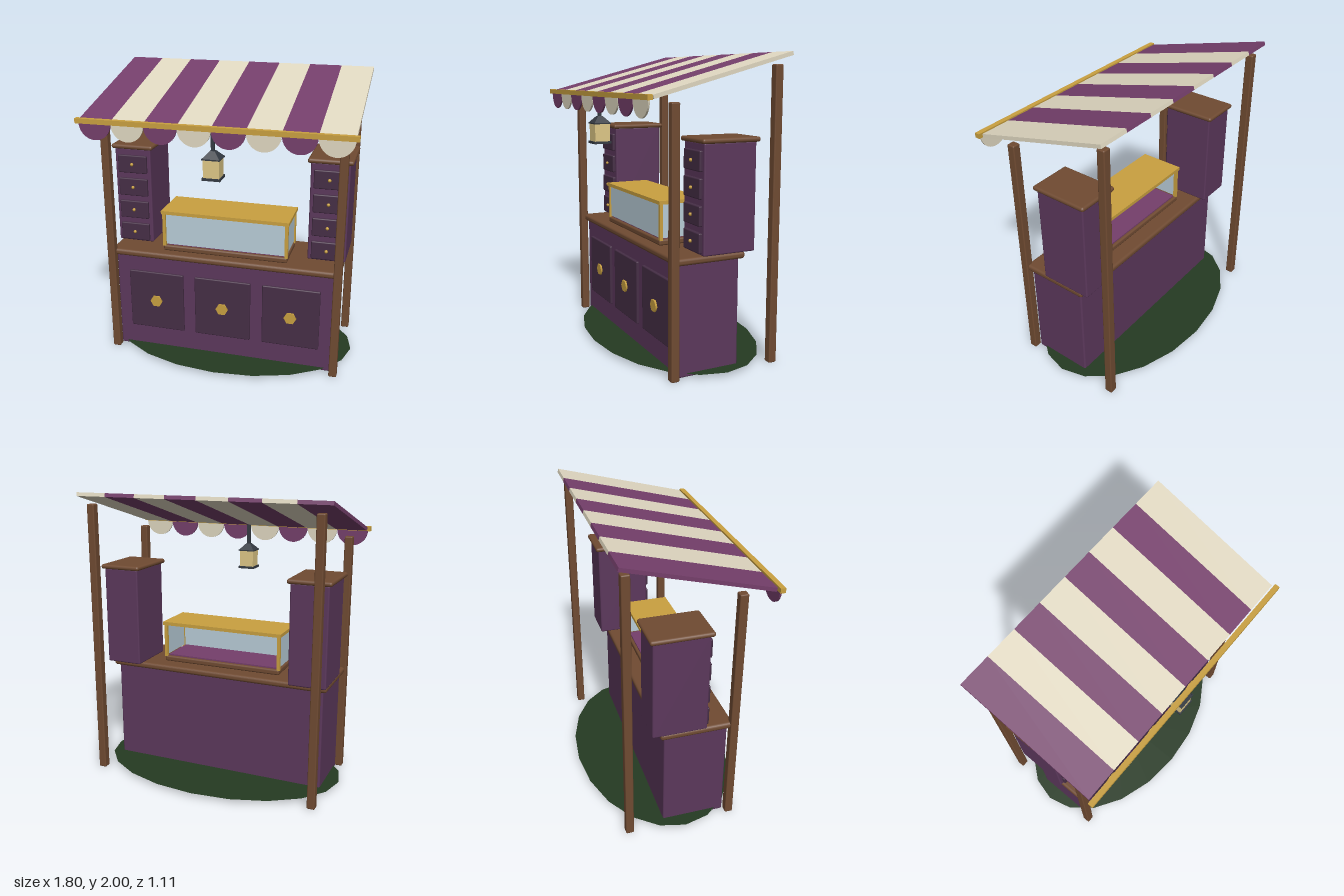
import * as THREE from 'three';
import { RoundedBoxGeometry } from 'three/addons/geometries/RoundedBoxGeometry.js';

const mat = (color, extra = {}) => new THREE.MeshStandardMaterial({ color, ...extra });

export function createModel() {
  const root = new THREE.Group();
  const plum = mat(0x5c385c), darkPlum = mat(0x462e46), wood = mat(0x704b32);
  const gold = mat(0xc9a040), iron = mat(0x343a42, { flatShading: true });
  const glass = mat(0xb9cdd8), glow = mat(0xdfc887);
  const cream = mat(0xe0d8c1), purple = mat(0x753f6b);
  const grass = mat(0x253a22, { side: THREE.DoubleSide });

  const add = (name, geometry, material, x, y, z, parent = root) => {
    const mesh = new THREE.Mesh(geometry, material);
    mesh.name = name;
    mesh.position.set(x, y, z);
    parent.add(mesh);
    return mesh;
  };
  const group = (name, x = 0, y = 0, z = 0) => {
    const g = new THREE.Group();
    g.name = name;
    g.position.set(x, y, z);
    root.add(g);
    return g;
  };
  const box = (w, h, d) => new THREE.BoxGeometry(w, h, d);
  const soft = (w, h, d, r = 0.01) => new RoundedBoxGeometry(w, h, d, 2, r);

  // Oval grass patch
  const patch = add('grassPatch', new THREE.CircleGeometry(1, 20, Math.PI / 2), grass, 0, 0.025, 0);
  patch.rotation.x = -Math.PI / 2;
  patch.scale.set(0.88, 0.555, 1);

  // Counter with three door panels
  add('counterBody', soft(1.56, 0.73, 0.43, 0.012), plum, 0, 0.365, 0.085);
  add('counterTop', soft(1.62, 0.045, 0.49, 0.018), wood, 0, 0.745, 0.085);
  for (const x of [-0.485, 0, 0.485]) {
    add('doorPanel', soft(0.4, 0.44, 0.03, 0.008), darkPlum, x, 0.39, 0.302);
    const stud = add('hexStud', new THREE.CylinderGeometry(0.044, 0.044, 0.016, 6), gold, x, 0.39, 0.322);
    stud.rotation.set(Math.PI / 2, Math.PI / 2, 0);
  }

  for (const side of [-1, 1]) {
    // Posts: short in front, tall behind
    add('frontPost', soft(0.055, 1.7, 0.055, 0.008), wood, side * 0.797, 0.85, 0.335);
    add('backPost', soft(0.055, 1.92, 0.055, 0.008), wood, side * 0.797, 0.96, -0.375);

    // Drawer cabinet
    const cabinet = group('drawerCabinet', side * 0.69, 0, -0.0375);
    add('cabinetBody', soft(0.26, 0.69, 0.365), plum, 0, 1.113, 0, cabinet);
    add('cabinetCap', soft(0.3, 0.032, 0.405, 0.015), wood, 0, 1.469, 0, cabinet);
    for (let i = 0; i < 4; i++) {
      const y = 0.845 + i * 0.1675;
      add('drawer', soft(0.21, 0.128, 0.03, 0.008), darkPlum, 0, y, 0.187, cabinet);
      add('drawerKnob', new THREE.SphereGeometry(0.012, 8, 6), gold, 0, y, 0.206, cabinet);
    }
  }

  // Display case, open at the back
  const showcase = group('displayCase', 0, 0, 0.105);
  add('caseBase', soft(0.88, 0.04, 0.31, 0.012), wood, 0, 0.786, 0, showcase);
  add('caseLining', box(0.83, 0.012, 0.27), purple, 0, 0.81, 0, showcase);
  add('caseTop', box(0.9, 0.024, 0.32), gold, 0, 1.05, 0, showcase);
  add('frontPane', box(0.84, 0.225, 0.008), glass, 0, 0.927, 0.139, showcase);
  for (const side of [-1, 1]) {
    add('sidePane', box(0.008, 0.225, 0.27), glass, side * 0.43, 0.927, 0, showcase);
    for (const z of [-0.141, 0.141])
      add('casePost', box(0.022, 0.24, 0.022), gold, side * 0.433, 0.92, z, showcase);
  }

  // Sloped striped awning
  const awning = group('awning', 0, 1.86, 0.038);
  awning.rotation.x = 0.263;
  // Hanging scallops along the front edge
  const scallop = new THREE.Shape();
  scallop.absarc(0, 0, 0.109, Math.PI, Math.PI * 2, false);
  scallop.closePath();
  const scallopGeo = new THREE.ExtrudeGeometry(scallop, { depth: 0.012, bevelEnabled: false, curveSegments: 10 });
  for (let i = 0; i < 8; i++) {
    const x = -0.77 + i * 0.22, cloth = i % 2 ? cream : purple;
    add('awningStripe', box(0.22, 0.025, 0.968), cloth, x, 0, 0, awning);
    add('scallop', scallopGeo, cloth, x, 1.72, 0.526);
  }
  add('awningRail', box(1.8, 0.032, 0.034), gold, 0, 1.733, 0.535);

  // Hanging lantern
  const lantern = group('lantern', 0, 0, 0.49);
  const square = (r1, r2, h) => new THREE.CylinderGeometry(r1 * Math.SQRT2, r2 * Math.SQRT2, h, 4).rotateY(Math.PI / 4);
  add('lanternStem', square(0.011, 0.011, 0.15), iron, 0, 1.65, 0, lantern);
  add('lanternCap', square(0.016, 0.058, 0.045), iron, 0, 1.564, 0, lantern);
  add('lanternRim', box(0.118, 0.008, 0.118), iron, 0, 1.539, 0, lantern);
  add('lanternGlass', box(0.104, 0.118, 0.104), glow, 0, 1.478, 0, lantern);
  add('lanternBase', box(0.12, 0.016, 0.12), iron, 0, 1.412, 0, lantern);

  return root;
}
